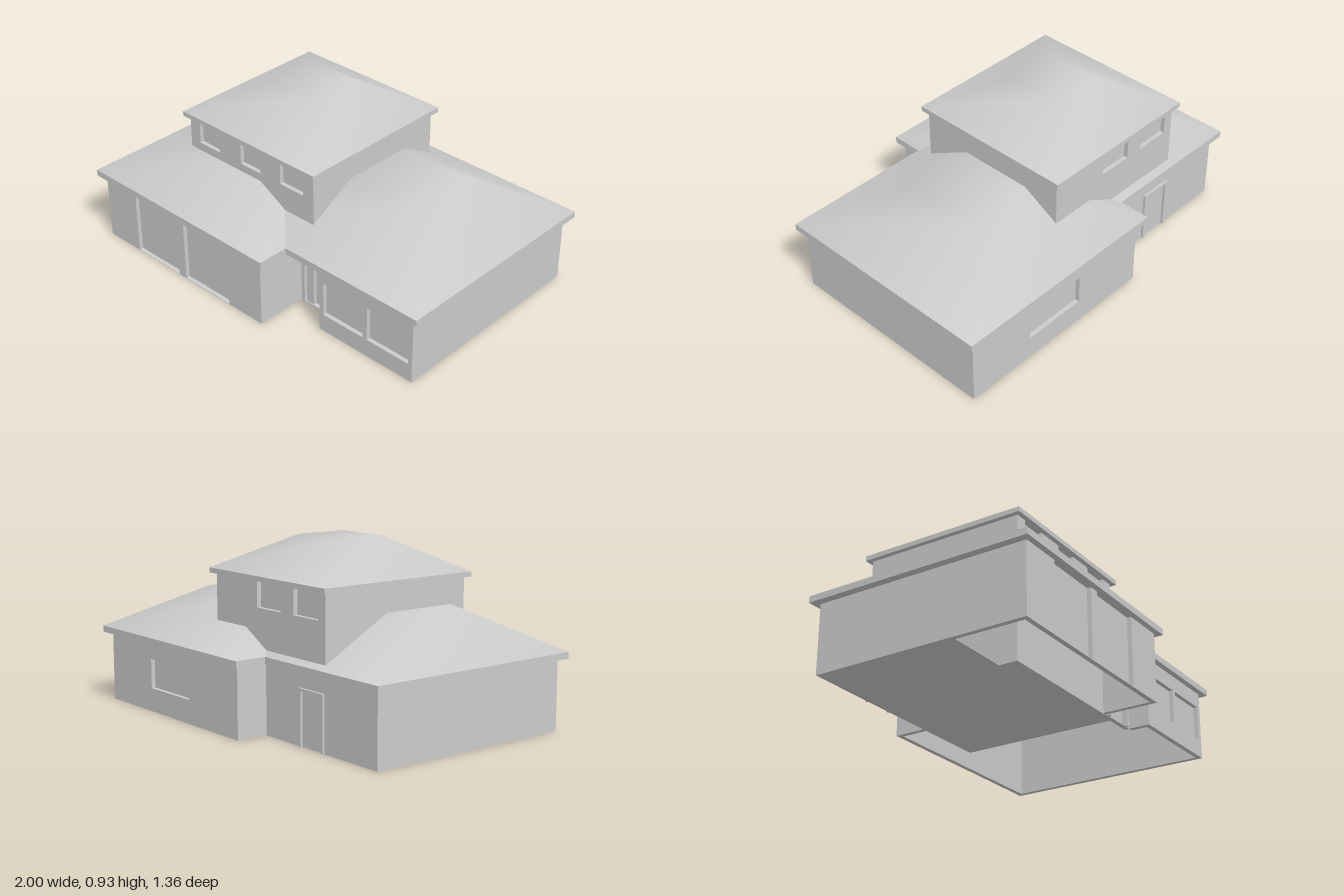
import * as THREE from 'three';

const material = new THREE.MeshStandardMaterial({ color: 0xcccccc, side: THREE.DoubleSide });
const THICK = 0.025;

function addMesh(parent, name, geometry) {
  const mesh = new THREE.Mesh(geometry, material);
  mesh.name = name;
  parent.add(mesh);
  return mesh;
}

function rectPath(PathType, x0, x1, y0, y1) {
  const p = new PathType();
  p.moveTo(x0, y0).lineTo(x1, y0).lineTo(x1, y1).lineTo(x0, y1).closePath();
  return p;
}

// Wall from plan point a to b (outside on the right-hand side of travel),
// with recessed panes; openings are [name, start, end, bottom, top] along the wall
function addWall(parent, name, a, b, height, openings = []) {
  const dx = b[0] - a[0], dz = b[1] - a[1], length = Math.hypot(dx, dz);
  const wall = new THREE.Group();
  wall.name = name;
  wall.position.set(a[0], 0, a[1]);
  wall.rotation.y = Math.atan2(-dz, dx);
  parent.add(wall);
  const shape = rectPath(THREE.Shape, 0, length, 0, height);
  for (const [label, s, e, y0, y1] of openings) {
    shape.holes.push(rectPath(THREE.Path, s, e, y0, y1));
    const pane = addMesh(wall, label, new THREE.PlaneGeometry(e - s, y1 - y0));
    pane.position.set((s + e) / 2, (y0 + y1) / 2, -THICK + 0.003);
    if (label === 'door') {
      // slim casing around the door
      for (const x of [s, e]) {
        addMesh(wall, 'doorJamb', new THREE.BoxGeometry(0.014, y1 - y0, 0.024))
          .position.set(x, (y0 + y1) / 2, 0);
      }
      addMesh(wall, 'doorHead', new THREE.BoxGeometry(e - s + 0.014, 0.014, 0.024))
        .position.set((s + e) / 2, y1, 0);
    }
  }
  const geometry = new THREE.ExtrudeGeometry(shape, { depth: THICK, bevelEnabled: false });
  geometry.translate(0, 0, -THICK);
  addMesh(wall, name + 'Panel', geometry);
}

// Eave band around an outline, open where the walls stand
function addEaves(parent, name, outer, inner, y0, y1) {
  const toPlan = pts => pts.map(([x, z]) => new THREE.Vector2(x, -z));
  const shape = new THREE.Shape(toPlan(outer));
  shape.holes.push(new THREE.Path(toPlan(inner)));
  const geometry = new THREE.ExtrudeGeometry(shape, { depth: y1 - y0, bevelEnabled: false });
  geometry.rotateX(-Math.PI / 2).translate(0, y0, 0);
  addMesh(parent, name, geometry);
}

const corners = (x0, x1, z0, z1) => [[x0, z1], [x1, z1], [x1, z0], [x0, z0]];

// Hipped roof with a flat crown and softly blended normals
function addRoof(parent, name, base, crown, y0, y1) {
  const positions = [];
  for (const [x, z] of corners(...base)) positions.push(x, y0, z);
  for (const [x, z] of corners(...crown)) positions.push(x, y1, z);
  const index = [4, 5, 6, 4, 6, 7];
  for (let i = 0; i < 4; i++) {
    const j = (i + 1) % 4;
    index.push(i, j, j + 4, i, j + 4, i + 4);
  }
  const geometry = new THREE.BufferGeometry();
  geometry.setAttribute('position', new THREE.Float32BufferAttribute(positions, 3));
  geometry.setIndex(index);
  geometry.computeVertexNormals();
  addMesh(parent, name, geometry);
}

export function createModel() {
  const house = new THREE.Group();
  house.name = 'house';

  // Ground storey walls, walked round the plan
  const plan = [
    [-0.96, 0.645], [0.16, 0.645], [0.16, 0.37], [0.385, 0.37], [0.385, 0.48],
    [0.96, 0.48], [0.96, -0.645], [-0.16, -0.645], [-0.16, -0.48], [-0.96, -0.48],
  ];
  const openings = {
    0: [['garageDoor', 0.22, 0.53, 0.002, 0.357], ['garageDoor', 0.58, 0.895, 0.002, 0.357]],
    2: [['door', 0.025, 0.197, 0.002, 0.32]],
    4: [['window', 0.015, 0.275, 0.095, 0.275], ['window', 0.3, 0.56, 0.095, 0.275]],
    6: [['window', 0.37, 0.71, 0.12, 0.27]],
    8: [['door', 0.27, 0.43, 0.002, 0.27]],
  };
  const lower = new THREE.Group();
  lower.name = 'groundStorey';
  house.add(lower);
  plan.forEach((p, i) =>
    addWall(lower, 'outerWall', p, plan[(i + 1) % plan.length], 0.36, openings[i]));

  // Floor beside the tower
  addMesh(lower, 'floor', new THREE.BoxGeometry(0.355, 0.004, 0.75))
    .position.set(-0.7825, 0.002, -0.105);

  // Two overlapping lower roofs sharing one eave outline
  const eaveOutline = [
    [-1, 0.675], [0.195, 0.675], [0.195, 0.51], [1, 0.51],
    [1, -0.68], [-0.2, -0.68], [-0.2, -0.515], [-1, -0.515],
  ];
  addEaves(lower, 'lowerEaves', eaveOutline, plan, 0.355, 0.388);
  addRoof(lower, 'leftWingRoof', [-1, 0.195, -0.515, 0.675], [-0.6, -0.205, -0.115, 0.275], 0.388, 0.61);
  addRoof(lower, 'rightWingRoof', [-0.2, 1, -0.68, 0.51], [0.2, 0.6, -0.28, 0.11], 0.388, 0.61);

  // Upper storey, its walls running down to the ground
  const upper = new THREE.Group();
  upper.name = 'upperStorey';
  house.add(upper);
  const tower = corners(-0.605, 0.238, -0.479, 0.365);
  const upperWindows = {
    0: [[0.065, 0.205], [0.355, 0.49], [0.625, 0.775]],
    2: [[0.33, 0.51], [0.61, 0.79]],
  };
  tower.forEach((p, i) => addWall(upper, 'towerWall', p, tower[(i + 1) % 4], 0.735,
    (upperWindows[i] || []).map(([s, e]) => ['window', s, e, 0.603, 0.732])));
  addMesh(upper, 'towerFloor', new THREE.BoxGeometry(0.843, 0.004, 0.844))
    .position.set(-0.1835, 0.002, -0.057);
  addEaves(upper, 'upperEaves', corners(-0.63, 0.262, -0.505, 0.39), tower, 0.732, 0.757);
  addRoof(upper, 'upperRoof', [-0.63, 0.262, -0.505, 0.39], [-0.323, -0.045, -0.198, 0.083], 0.757, 0.925);

  return house;
}
